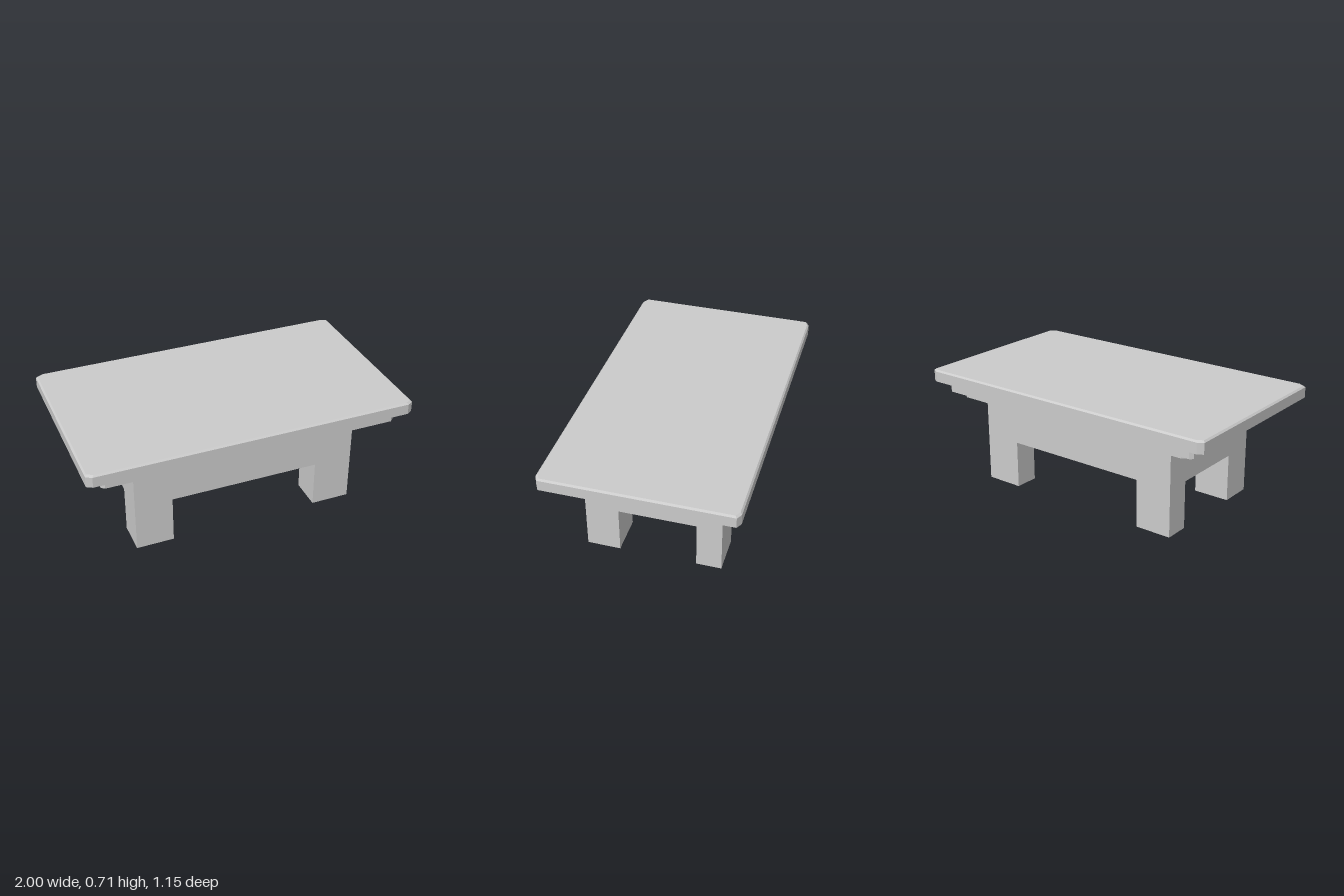
import * as THREE from 'three';

const material = new THREE.MeshStandardMaterial({ color: 0xcccccc, flatShading: true });

function add(group, name, geometry) {
  const mesh = new THREE.Mesh(geometry, material);
  mesh.name = name;
  group.add(mesh);
}

// Box given by its extents on each axis
function block([x0, x1], [y0, y1], [z0, z1]) {
  return new THREE.BoxGeometry(x1 - x0, y1 - y0, z1 - z0)
    .translate((x0 + x1) / 2, (y0 + y1) / 2, (z0 + z1) / 2);
}

// Rectangular slab with cut corners (cx, cz) and an optional bevelled top edge
function slab(hx, hz, cx, cz, y0, y1, bevel = 0) {
  const outline = new THREE.Shape([
    [hx - cx, -hz], [hx, cz - hz], [hx, hz - cz], [hx - cx, hz],
    [cx - hx, hz], [-hx, hz - cz], [-hx, cz - hz], [cx - hx, -hz],
  ].map(([x, z]) => new THREE.Vector2(x, z)));
  const height = y1 - y0;
  const geometry = new THREE.ExtrudeGeometry(outline, {
    depth: height, steps: bevel ? 2 : 1, bevelEnabled: false,
  }).rotateX(-Math.PI / 2);
  if (bevel) {
    // Lift the middle ring to the bevel line and draw the top ring in
    const p = geometry.attributes.position;
    for (let i = 0; i < p.count; i++) {
      const t = p.getY(i) / height;
      if (t > 0.9) {
        p.setX(i, p.getX(i) * (1 - bevel / hx));
        p.setZ(i, p.getZ(i) * (1 - bevel / hz));
      } else if (t > 0.1) p.setY(i, height - bevel);
    }
    geometry.computeVertexNormals();
  }
  return geometry.translate(0, y0, 0);
}

export function createModel() {
  const group = new THREE.Group();
  group.name = 'table';

  // Stepped top: three tiers that shrink downwards
  add(group, 'tableTop', slab(1, 0.574, 0.035, 0.02, 0.635, 0.71, 0.01));
  add(group, 'middleTier', slab(0.908, 0.522, 0.02, 0.017, 0.57, 0.635));
  add(group, 'lowerTier', slab(0.825, 0.475, 0.018, 0.015, 0.537, 0.57));

  // Solid apron, flush with the outside of the legs
  add(group, 'apron', block([-0.697, 0.692], [0.295, 0.537], [-0.41, 0.413]));

  // Four square legs, the front pair a little deeper
  const sides = { right: [-0.697, -0.467], left: [0.453, 0.692] };
  const ends = { front: [0.211, 0.413], back: [-0.41, -0.258] };
  for (const [end, z] of Object.entries(ends)) {
    for (const [side, x] of Object.entries(sides)) {
      add(group, `${end} ${side} leg`, block(x, [0, 0.295], z));
    }
  }
  return group;
}
